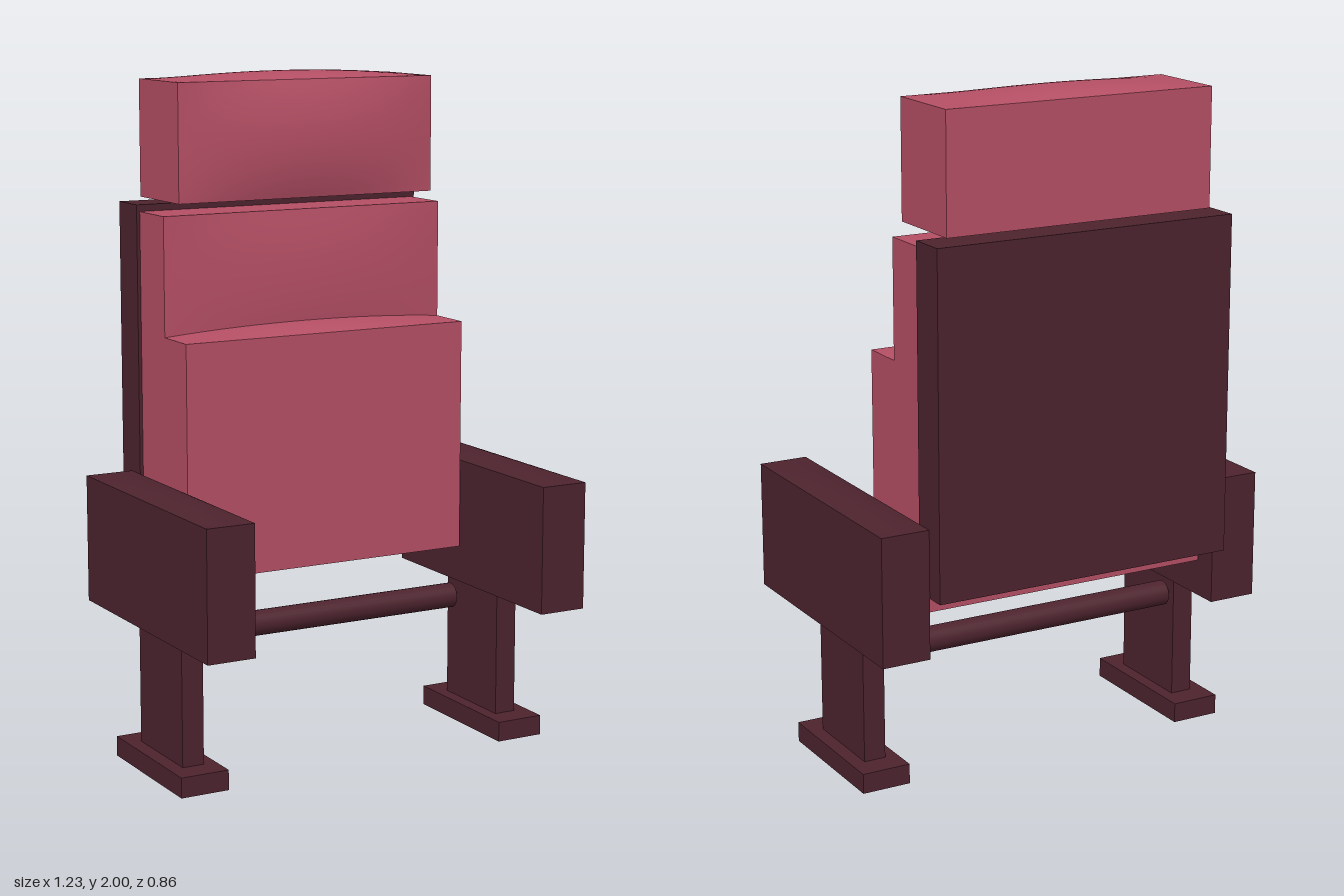
import * as THREE from 'three';

const fabric = new THREE.MeshStandardMaterial({ color: 0xb54f65 });
fabric.name = 'rose fabric';
const frame = new THREE.MeshStandardMaterial({ color: 0x4d232e });
frame.name = 'dark maroon frame';

// Box given by its limits; the top and front faces can swell like a pillow.
function block(name, material, [x0, x1], [y0, y1], [z0, z1], top = 0, front = 0) {
  const w = x1 - x0, h = y1 - y0, d = z1 - z0;
  const n = top || front ? 16 : 1;
  const geometry = new THREE.BoxGeometry(w, h, d, n, n, n);
  const p = geometry.attributes.position;
  const normal = geometry.attributes.normal;
  for (let i = 0; i < p.count; i++) {
    const u = 1 - (2 * p.getX(i) / w) ** 2;
    const v = 1 - (2 * p.getY(i) / h) ** 2;
    const t = 1 - (2 * p.getZ(i) / d) ** 2;
    if (normal.getY(i) > 0.5) p.setY(i, h / 2 + top * u * t);
    else if (normal.getZ(i) > 0.5) p.setZ(i, d / 2 + front * u * v);
  }
  geometry.computeVertexNormals();
  const mesh = new THREE.Mesh(geometry, material);
  mesh.position.set((x0 + x1) / 2, (y0 + y1) / 2, (z0 + z1) / 2);
  mesh.name = name;
  return mesh;
}

export function createModel() {
  const chair = new THREE.Group();
  chair.name = 'foldingAuditoriumChair';

  // Backrest shell and upholstery, with the seat folded up against it
  chair.add(
    block('backPanel', frame, [-0.47, 0.47], [0.62, 1.62], [-0.43, -0.31]),
    block('backCushion', fabric, [-0.46, 0.46], [1.15, 1.6], [-0.31, -0.15], 0, 0.023),
    block('foldedSeat', fabric, [-0.46, 0.46], [0.555, 1.25], [-0.31, -0.01], 0.022),
    block('headrest', fabric, [-0.42, 0.42], [1.635, 1.98], [-0.39, -0.13], 0.02, 0.03),
  );

  // Armrest, leg and foot on each side
  for (const side of [-1, 1]) {
    const span = (a, b) => (side > 0 ? [a, b] : [-b, -a]);
    const label = side > 0 ? 'left' : 'right';
    chair.add(
      block(label + 'Armrest', frame, span(0.47, 0.617), [0.44, 0.82], [-0.37, 0.428], 0.015),
      block(label + 'Leg', frame, span(0.495, 0.562), [0.06, 0.44], [-0.13, 0.15]),
      block(label + 'Foot', frame, span(0.456, 0.605), [0, 0.06], [-0.208, 0.23]),
    );
  }

  // Round bar between the legs
  const bar = new THREE.Mesh(new THREE.CylinderGeometry(0.038, 0.038, 0.96, 24), frame);
  bar.rotation.z = Math.PI / 2;
  bar.position.set(0, 0.381, -0.09);
  bar.name = 'crossbar';
  chair.add(bar);

  // The bar stops just short of the legs, so short pins carry it
  for (const side of [-1, 1]) {
    const pin = new THREE.Mesh(new THREE.CylinderGeometry(0.015, 0.015, 0.03, 12), frame);
    pin.rotation.z = Math.PI / 2;
    pin.position.set(side * 0.485, 0.381, -0.09);
    pin.name = side > 0 ? 'leftBarPin' : 'rightBarPin';
    chair.add(pin);
  }

  return chair;
}
